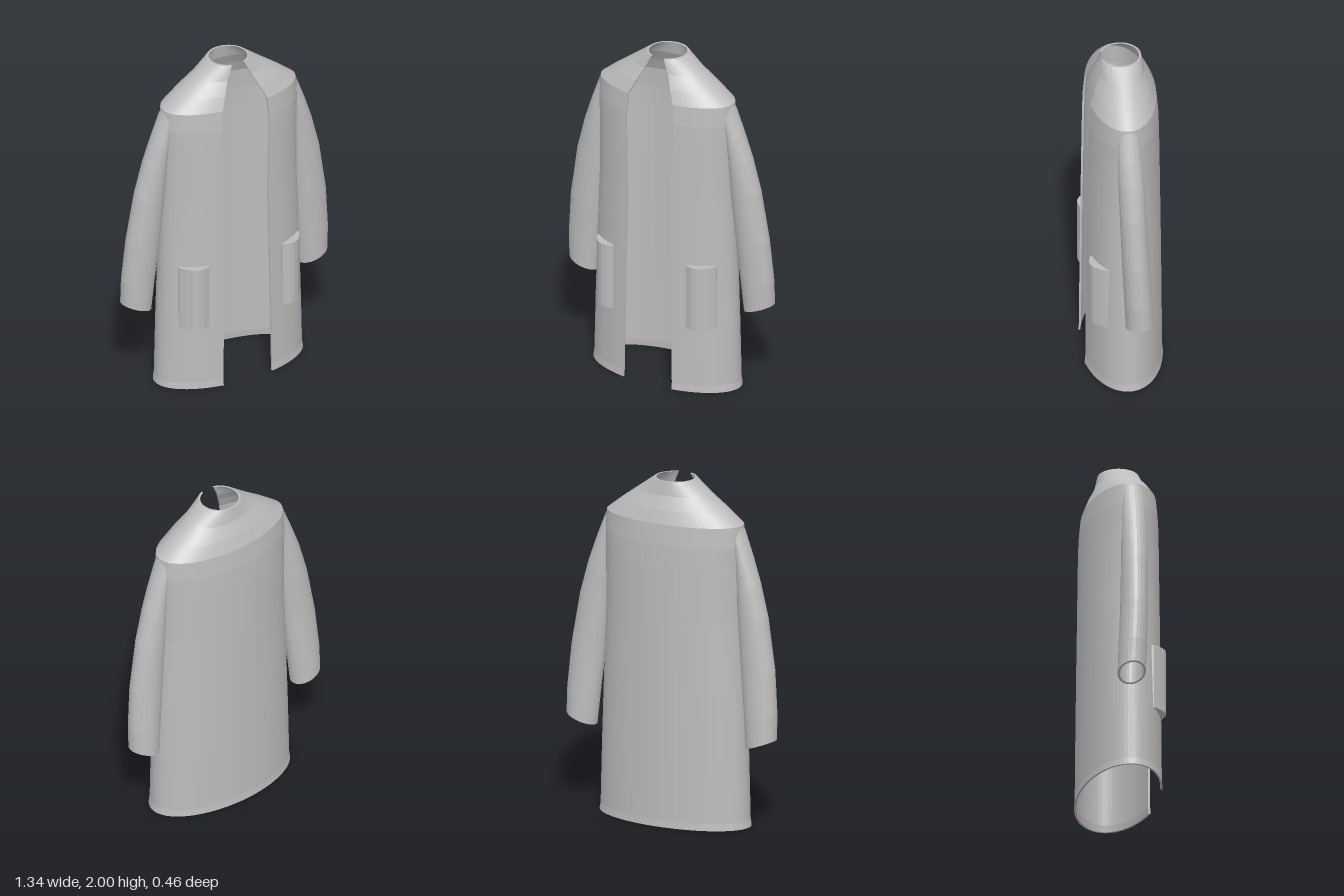
import * as THREE from 'three';
import { mergeGeometries } from 'three/addons/utils/BufferGeometryUtils.js';

const THICK = 0.012;

// Skin a list of point rings, optionally joining each ring's last point to its first
function loft(rings, closed) {
  const n = rings[0].length, pos = [], idx = [];
  rings.forEach(r => r.forEach(p => pos.push(...p)));
  for (let r = 0; r < rings.length - 1; r++) {
    for (let u = 0; u < (closed ? n : n - 1); u++) {
      const v = (u + 1) % n;
      const a = r * n + u, b = r * n + v, c = b + n, d = a + n;
      idx.push(a, b, c, a, c, d);
    }
  }
  const g = new THREE.BufferGeometry();
  g.setAttribute('position', new THREE.Float32BufferAttribute(pos, 3));
  g.setIndex(idx);
  g.computeVertexNormals();
  return g;
}

// Body rows: height, half width, half depth, half front opening
const BODY = [
  [0, 0.475, 0.236, 0.16], [0.04, 0.469, 0.232, 0.16], [0.4, 0.46, 0.229, 0.155],
  [0.8, 0.447, 0.225, 0.149], [1.2, 0.432, 0.22, 0.144], [1.53, 0.434, 0.215, 0.155],
  [1.65, 0.438, 0.211, 0.158], [1.77, 0.43, 0.2, 0.147], [1.845, 0.335, 0.172, 0.115],
  [1.92, 0.232, 0.134, 0.078], [2, 0.122, 0.118, 0.04],
];

// Arc running from the left front edge round the back to the right front edge
function bodyArc([y, rx, rz, gap], inset) {
  const a = rx - inset, b = rz - inset, start = Math.asin(gap / a), N = 64;
  return Array.from({ length: N + 1 }, (_, i) => {
    const t = start + (2 * Math.PI - 2 * start) * i / N;
    return [a * Math.sin(t), y, b * Math.cos(t)];
  });
}

function bodyGeometry() {
  const outer = BODY.map(r => bodyArc(r, 0));
  const inner = BODY.map(r => bodyArc(r, THICK));
  const walls = loft(outer.map((o, i) => [...o, ...inner[i].slice().reverse()]), true);
  const hem = loft([inner[0], outer[0]], false);
  const collar = loft([outer.at(-1), inner.at(-1)], false);
  return mergeGeometries([walls, hem, collar]);
}

// Sleeve sections from cuff to shoulder: outer x, y, inner x, y, centre z, half depth
const SLEEVE = [
  [0.672, 0.55, 0.49, 0.485, -0.045, 0.08], [0.672, 0.7, 0.474, 0.65, -0.038, 0.08],
  [0.652, 0.95, 0.448, 0.91, -0.025, 0.078], [0.602, 1.25, 0.424, 1.18, -0.015, 0.076],
  [0.548, 1.45, 0.415, 1.34, -0.01, 0.074], [0.495, 1.6, 0.412, 1.47, -0.004, 0.07],
  [0.432, 1.76, 0.408, 1.6, 0, 0.062],
];

function sleeveRing([ox, oy, ix, iy, z, rz], inset) {
  const hx = (ox - ix) / 2, hy = (oy - iy) / 2, k = 1 - inset / Math.hypot(hx, hy);
  return Array.from({ length: 24 }, (_, i) => {
    const t = 2 * Math.PI * i / 24, s = Math.sin(t) * k;
    return [(ox + ix) / 2 + hx * s, (oy + iy) / 2 + hy * s, z + (rz - inset) * Math.cos(t)];
  });
}

function sleeveGeometry() {
  const outer = SLEEVE.map(s => sleeveRing(s, 0));
  const inner = SLEEVE.map(s => sleeveRing(s, THICK));
  return loft([...inner.reverse(), ...outer], true);
}

// Bulging patch pocket drawn from above and extruded upwards
function pocketGeometry() {
  const outline = [[0.24, 0.2], [0.285, 0.212], [0.315, 0.21], [0.345, 0.195], [0.375, 0.16],
    [0.395, 0.124], [0.392, 0.108], [0.34, 0.145], [0.285, 0.172], [0.24, 0.188]];
  const shape = new THREE.Shape(outline.map(([x, z]) => new THREE.Vector2(x, -z)));
  const g = new THREE.ExtrudeGeometry(shape, { depth: 0.39, bevelEnabled: false });
  return g.rotateX(-Math.PI / 2).translate(0, 0.4, 0);
}

export function createModel() {
  const coat = new THREE.Group();
  coat.name = 'openCoat';
  const cloth = new THREE.MeshStandardMaterial({
    color: 0xbcbcbc, side: THREE.DoubleSide, flatShading: true,
  });
  cloth.name = 'greyCloth';

  const add = (name, geometry, mirror = 1) => {
    const mesh = new THREE.Mesh(geometry, cloth);
    mesh.name = name;
    mesh.scale.x = mirror;
    coat.add(mesh);
  };

  add('coatBody', bodyGeometry());
  const sleeve = sleeveGeometry(), pocket = pocketGeometry();
  for (const [side, mirror] of [['left', 1], ['right', -1]]) {
    add(side + 'Sleeve', sleeve, mirror);
    add(side + 'Pocket', pocket, mirror);
  }
  return coat;
}
